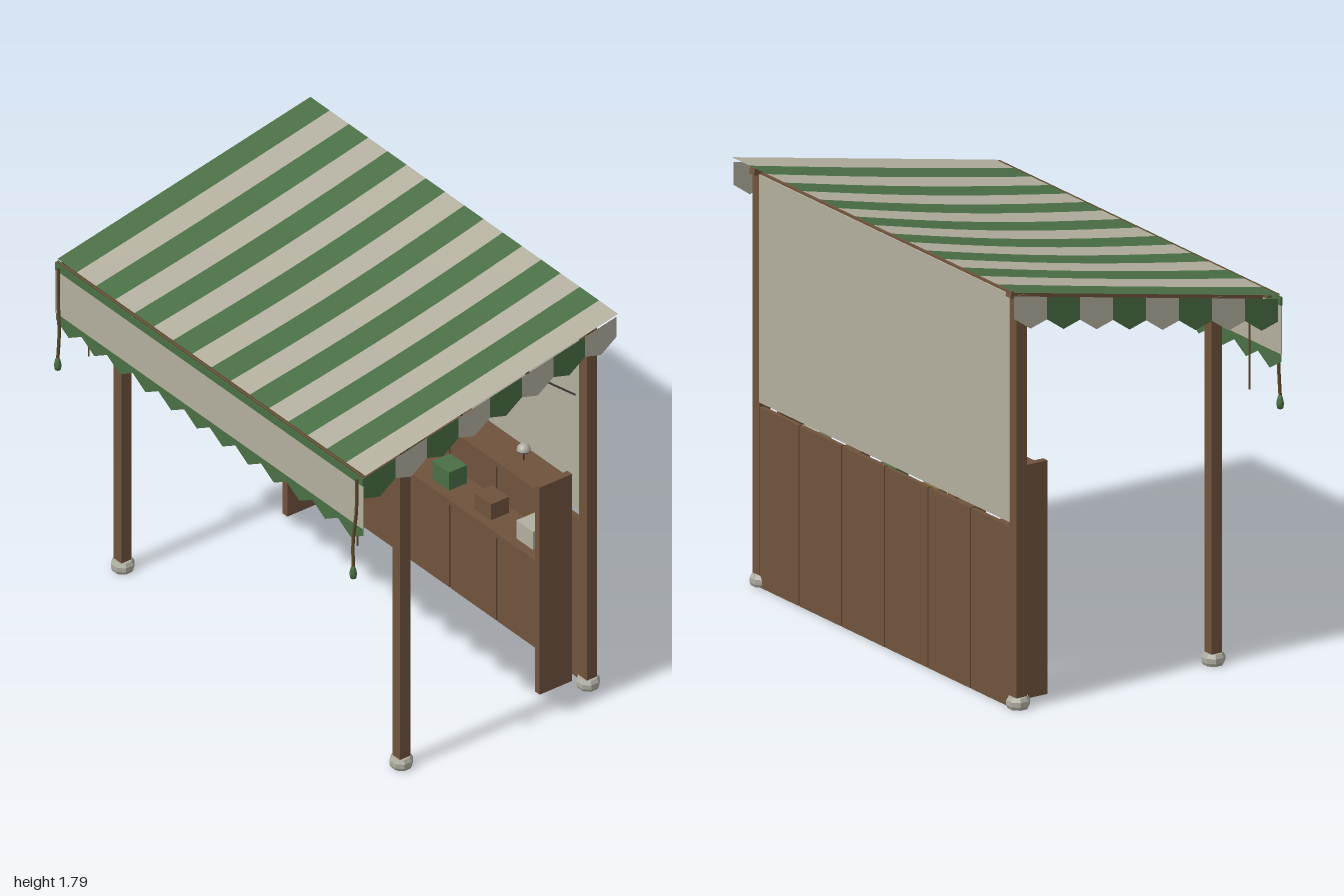
import * as THREE from 'three';

const mat = (name, color, extra = {}) => {
  const m = new THREE.MeshStandardMaterial({ color, ...extra });
  m.name = name;
  return m;
};

export function createModel() {
  const group = new THREE.Group();
  const wood = mat('brown wood', 0x6f533d);
  const stone = mat('grey stone', 0xaeaca0);
  const rope = mat('olive rope', 0x5c4a2c);
  const mustard = mat('mustard', 0x80703f);
  const iron = mat('dark iron', 0x33322e);
  const cream = mat('cream cloth', 0xb3af9f, { side: THREE.DoubleSide });
  const green = mat('green cloth', 0x4a6f45, { side: THREE.DoubleSide });

  const add = (name, geo, material, x = 0, y = 0, z = 0) => {
    const m = new THREE.Mesh(geo, material);
    m.name = name;
    m.position.set(x, y, z);
    group.add(m);
    return m;
  };
  // Box given by its extents along each axis
  const box = (name, material, [x0, x1], [y0, y1], [z0, z1]) =>
    add(name, new THREE.BoxGeometry(x1 - x0, y1 - y0, z1 - z0), material,
      (x0 + x1) / 2, (y0 + y1) / 2, (z0 + z1) / 2);
  const tube = (name, material, pts, r, n = 12) =>
    add(name, new THREE.TubeGeometry(
      new THREE.CatmullRomCurve3(pts.map(p => new THREE.Vector3(...p))), n, r, 6), material);
  const sheet = (name, material, pts, z) =>
    add(name, new THREE.ShapeGeometry(new THREE.Shape(pts.map(p => new THREE.Vector2(...p)))), material, 0, 0, z);

  // Roof plane: height of the straight slope at a given depth
  const zF = 0.615, zB = -0.66, yF = 1.53, yB = 1.79;
  const slopeY = z => yF + (yB - yF) * (zF - z) / (zF - zB);

  // Striped canopy, sagging slightly towards the middle
  for (let i = 0; i < 16; i++) {
    const geo = new THREE.PlaneGeometry(0.125, zF - zB, 2, 14);
    geo.rotateX(-Math.PI / 2);
    geo.translate(-1 + 0.125 * (i + 0.5), 0, (zF + zB) / 2);
    const p = geo.attributes.position;
    for (let k = 0; k < p.count; k++) {
      const x = p.getX(k), z = p.getZ(k);
      const sag = 0.018 * Math.cos(x * Math.PI / 2) * Math.sin(Math.PI * (zF - z) / (zF - zB));
      p.setY(k, slopeY(z) - sag);
    }
    geo.computeVertexNormals();
    add('canopyStripe', geo, i % 2 ? cream : green);
  }

  // Side valances: eight pointed flags following the slope
  const step = (zF - zB) / 8;
  for (const s of [-1, 1]) {
    for (let i = 0; i < 8; i++) {
      const a = zF - i * step, b = a - step, c = (a + b) / 2;
      const top = z => slopeY(z) - 0.018;
      const flag = sheet('sideValanceFlag', i % 2 ? cream : green,
        [[-a, top(a)], [-a, top(a) - 0.095], [-c, top(c) - 0.135], [-b, top(b) - 0.095], [-b, top(b)]], 0);
      flag.rotation.y = Math.PI / 2;
      flag.position.x = s * 0.99;
    }
  }

  // Front flap with green hem and zigzag edge
  box('frontFlap', cream, [-1, 1], [1.28, 1.485], [0.621, 0.627]);
  box('frontFlapTopBand', green, [-1, 1], [1.485, 1.52], [0.62, 0.629]);
  const teeth = 12, w = 2 / teeth, zig = [[1, 1.28], [-1, 1.28]];
  for (let i = 0; i < teeth; i++) zig.push([-1 + i * w, 1.248], [-1 + (i + 0.5) * w, 1.2]);
  zig.push([1, 1.248]);
  sheet('frontFlapZigzag', green, zig, 0.624);

  // Posts and their stone feet
  const footProfile = [[0, 0], [0.042, 0], [0.049, 0.014], [0.049, 0.034], [0.04, 0.05], [0, 0.05]]
    .map(p => new THREE.Vector2(...p));
  const footGeo = new THREE.LatheGeometry(footProfile, 8, Math.PI / 8).toNonIndexed();
  footGeo.computeVertexNormals();
  for (const s of [-1, 1]) {
    for (const [z, h] of [[0.36, 1.55], [-0.582, 1.74]]) {
      const x = s * 0.905;
      box('post', wood, [x - 0.025, x + 0.025], [0.03, h], [z - 0.026, z + 0.026]);
      add('foot', footGeo, stone, x, 0, z);
    }
    // Sloping rafter
    const len = Math.hypot(zF - zB - 0.06, 0.25);
    const rafter = add('rafter', new THREE.BoxGeometry(0.035, 0.03, len), wood,
      s * 0.905, slopeY(-0.02) - 0.03, -0.02);
    rafter.rotation.x = Math.atan2(yB - yF, zF - zB);
  }
  box('frontBeam', wood, [-0.93, 0.93], [1.51, 1.55], [0.34, 0.38]);
  box('backBeam', wood, [-0.93, 0.93], [1.705, 1.745], [-0.598, -0.566]);
  box('eaveBeam', wood, [-0.95, 0.95], [1.508, 1.526], [0.592, 0.612]);
  tube('eaveRod', rope, [[-0.99, 1.525, 0.622], [0.99, 1.525, 0.622]], 0.006, 1);

  // Back wall: cloth above, planks below
  box('backCloth', cream, [-0.885, 0.885], [0.78, 1.74], [-0.609, -0.603]);
  const seams = [-0.885, -0.605, -0.305, 0, 0.305, 0.605, 0.885];
  for (let i = 0; i < 6; i++)
    box('backPlank', wood, [seams[i] + 0.004, seams[i + 1] - 0.004], [0, 0.76], [-0.607, -0.587]);

  // Shelf unit
  for (const s of [-1, 1])
    box('shelfSide', wood, [s * 0.82 - 0.015, s * 0.82 + 0.015], [0, 0.985], [-0.555, -0.392]);
  box('lowerShelf', wood, [-0.805, 0.805], [0.598, 0.62], [-0.555, -0.395]);
  box('upperShelf', wood, [-0.805, 0.805], [0.937, 0.96], [-0.555, -0.395]);

  // Goods on the lower shelf
  [wood, wood, mustard, green, wood, cream].forEach((m, i) => {
    const x = -0.683 + i * 0.273;
    box('goodsBox', m, [x - 0.054, x + 0.054], [0.62, i % 2 ? 0.706 : 0.696], [-0.525, -0.435]);
  });

  // Small domed lamps on the upper shelf
  const dome = new THREE.SphereGeometry(0.029, 12, 5, 0, Math.PI * 2, 0, Math.PI / 2);
  for (const x of [-0.605, -0.2, 0.2, 0.605]) {
    add('lampStem', new THREE.CylinderGeometry(0.004, 0.004, 0.05, 6), iron, x, 0.983, -0.49);
    add('lampDome', dome, stone, x, 1.008, -0.49);
    add('lampBase', new THREE.CylinderGeometry(0.029, 0.025, 0.006, 12), iron, x, 1.005, -0.49);
  }

  // Garland of bulbs along the back wall
  const wireY = x => 1.3 + 0.09 * (x / 0.88) ** 2;
  const wire = [];
  for (let i = 0; i <= 8; i++) wire.push([-0.88 + i * 0.22, wireY(-0.88 + i * 0.22), -0.54]);
  tube('garlandWire', iron, wire, 0.004, 24);
  for (let i = -3; i <= 3; i++) {
    const x = i * 0.19;
    add('bulbCap', new THREE.CylinderGeometry(0.007, 0.007, 0.02, 6), iron, x, wireY(x) - 0.012, -0.535);
    add('bulb', new THREE.SphereGeometry(0.018, 8, 6), stone, x, wireY(x) - 0.036, -0.535);
  }

  // Tie ropes with tassels, and short hanging cords
  const tasselProfile = [[0, -0.035], [0.012, -0.03], [0.016, -0.01], [0.011, 0.015], [0.003, 0.035], [0, 0.036]]
    .map(p => new THREE.Vector2(...p));
  for (const s of [-1, 1]) {
    tube('tieRope', rope, [[s * 0.97, 1.51, 0.634], [s * 0.968, 1.35, 0.636],
      [s * 0.955, 1.2, 0.642], [s * 0.96, 1.09, 0.645]], 0.007);
    add('tassel', new THREE.LatheGeometry(tasselProfile, 8), green, s * 0.96, 1.067, 0.645);
    tube('hangingCord', rope, [[s * 0.873, 1.53, 0.556], [s * 0.873, 1.11, 0.556]], 0.004, 1);
  }
  return group;
}
